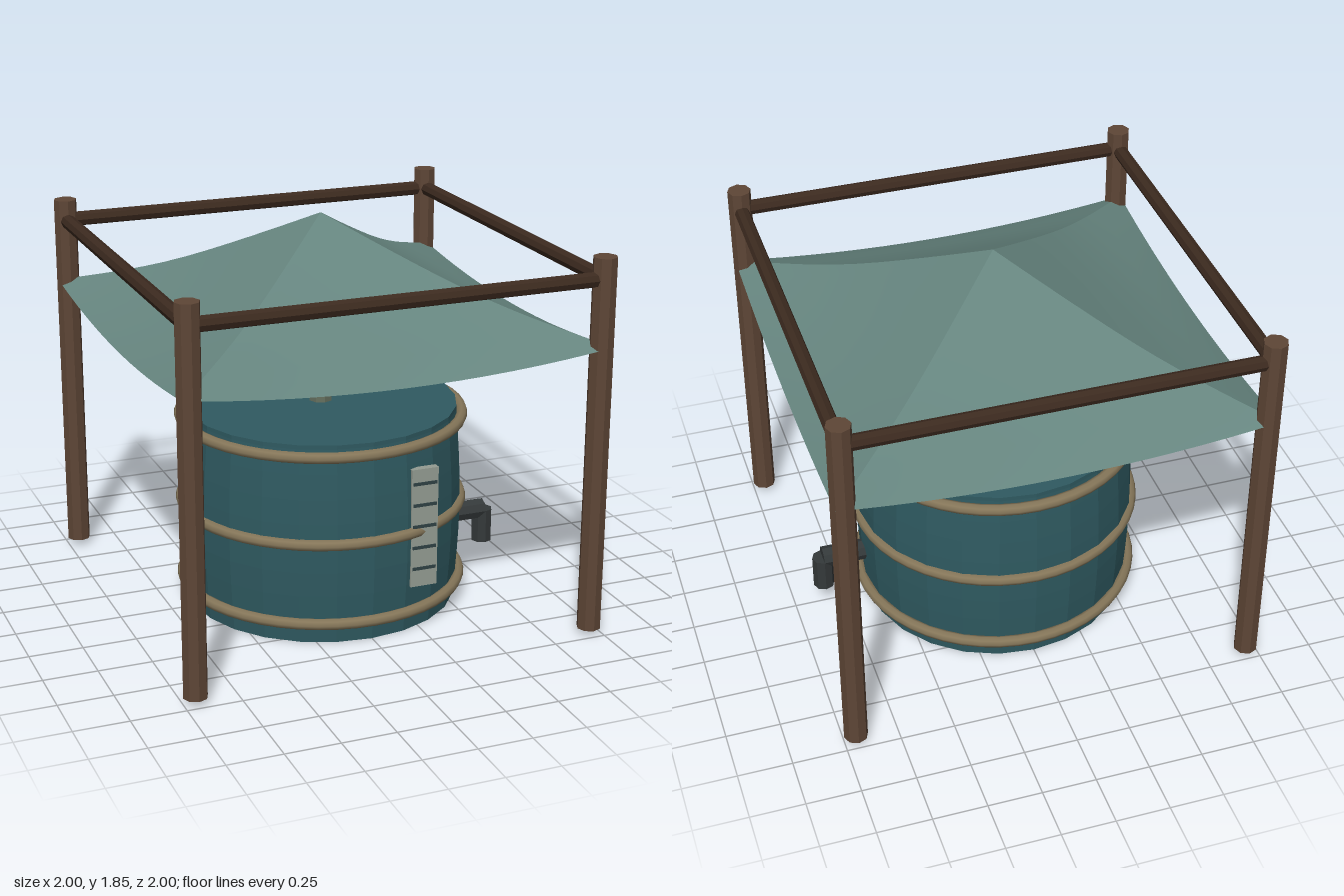
import * as THREE from 'three';

const mat = (color, flatShading = false, side = THREE.FrontSide) =>
  new THREE.MeshStandardMaterial({ color, flatShading, side });

const WOOD = mat(0x5e4636, true);
const BEAM = mat(0x3c2a1f, true);
const TEAL = mat(0x2f5a61, true);
const HOOP = mat(0x857659);
const CLOTH = mat(0x66857f, false, THREE.DoubleSide);
const POLE = mat(0x66705f, true);
const PLATE = mat(0x949c92);
const MARK = mat(0x2f4144);
const IRON = mat(0x34393a, true);

export function createModel() {
  const model = new THREE.Group();
  const add = (name, geometry, material, x = 0, y = 0, z = 0) => {
    const mesh = new THREE.Mesh(geometry, material);
    mesh.name = name;
    mesh.position.set(x, y, z);
    model.add(mesh);
    return mesh;
  };

  // Bulging tank, closed at both ends
  const profile = [[0, 0], [0.637, 0]];
  for (let i = 1; i <= 8; i++) {
    const t = i / 8;
    profile.push([0.637 + 0.025 * Math.sin(Math.PI * t), 0.93 * t]);
  }
  profile.push([0, 0.93]);
  add('tank', new THREE.LatheGeometry(profile.map(p => new THREE.Vector2(...p)), 24), TEAL);
  add('tankLid', new THREE.CylinderGeometry(0.637, 0.637, 0.025, 24), TEAL, 0, 0.937, 0);

  // Hoops around the tank
  for (const y of [0.1, 0.485, 0.9]) {
    add('hoop', new THREE.TorusGeometry(0.66, 0.027, 8, 48), HOOP, 0, y, 0).rotation.x = Math.PI / 2;
  }

  // Level gauge with dark marks
  add('gaugePlate', new THREE.BoxGeometry(0.13, 0.57, 0.036), PLATE, 0.255, 0.505, 0.617);
  for (let i = 0; i < 5; i++) {
    add('gaugeMark', new THREE.BoxGeometry(0.115, 0.015, 0.008), MARK, 0.255, 0.308 + i * 0.103, 0.635);
  }

  // Elbow outlet pipe
  add('outletPipe', new THREE.CylinderGeometry(0.05, 0.05, 0.26, 8), IRON, 0.725, 0.275, 0).rotation.z = Math.PI / 2;
  add('outletSpout', new THREE.CylinderGeometry(0.05, 0.05, 0.165, 8), IRON, 0.855, 0.1925, 0);

  // Centre pole holding up the canopy
  add('centrePole', new THREE.CylinderGeometry(0.055, 0.055, 0.85, 8), POLE, 0, 1.365, 0);

  // Corner posts and top beams
  const P = 0.945;
  for (const x of [-P, P]) for (const z of [-P, P]) {
    add('cornerPost', new THREE.CylinderGeometry(0.055, 0.055, 1.75, 8), WOOD, x, 0.905, z);
  }
  for (const s of [-P, P]) {
    add('crossBeam', new THREE.CylinderGeometry(0.035, 0.035, 2 * P, 8), BEAM, 0, 1.68, s).rotation.z = Math.PI / 2;
    add('sideBeam', new THREE.CylinderGeometry(0.035, 0.035, 2 * P, 8), BEAM, s, 1.68, 0).rotation.x = Math.PI / 2;
  }

  // Canopy: four curved panels that sag along their outer edges
  const ridge = new THREE.SplineCurve([
    [0, 1.845], [0.25, 1.697], [0.5, 1.56], [0.72, 1.465], [0.985, 1.375],
  ].map(p => new THREE.Vector2(...p)));
  const panel = new THREE.PlaneGeometry(2, 1, 16, 12);
  const pos = panel.attributes.position;
  for (let i = 0; i < pos.count; i++) {
    const s = pos.getX(i);
    const t = 0.5 - pos.getY(i);
    const r = ridge.getPoint(t);
    pos.setXYZ(i, s * r.x, r.y - 0.065 * (1 - s * s) * t ** 3, r.x);
  }
  panel.computeVertexNormals();
  for (let i = 0; i < 4; i++) {
    add('canopyPanel', panel, CLOTH).rotation.y = i * Math.PI / 2;
  }

  return model;
}
